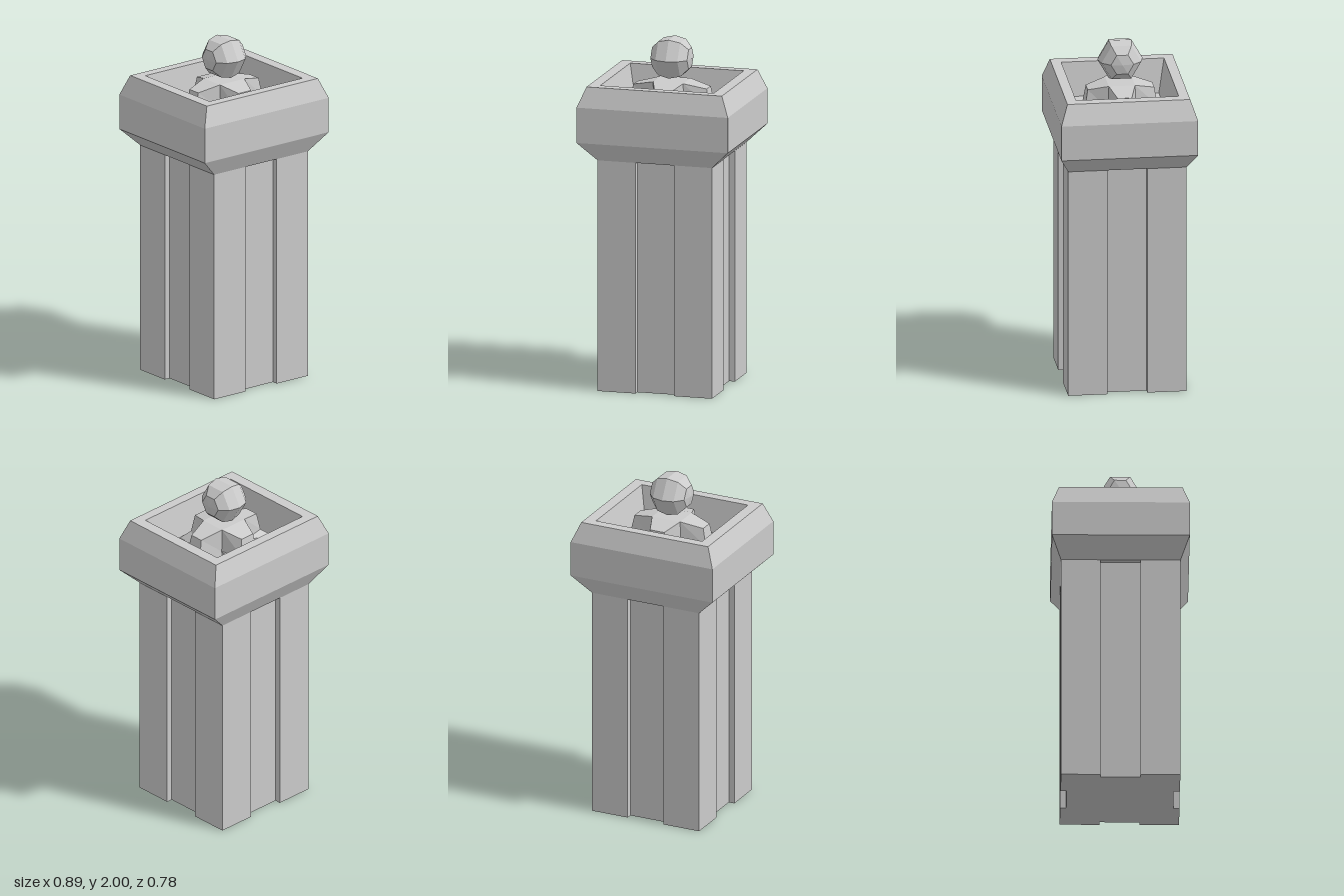
import * as THREE from 'three';

const material = new THREE.MeshStandardMaterial({ color: 0xcccccc, flatShading: true });

// Skins a stack of rings ([x, y, z] lists); caps are polygons on the last ring.
function loft(rings, topCaps, bottomCaps = []) {
  const n = rings[0].length;
  const index = [];
  for (let r = 0; r < rings.length - 1; r++) {
    for (let i = 0; i < n; i++) {
      const a = r * n + i, b = r * n + (i + 1) % n;
      index.push(a, a + n, b + n, a, b + n, b);
    }
  }
  const last = (rings.length - 1) * n;
  for (const [a, b, c, d] of topCaps) {
    index.push(last + a, last + c, last + b, last + a, last + d, last + c);
  }
  for (const [a, b, c, d] of bottomCaps) index.push(a, b, c, a, c, d);
  const indexed = new THREE.BufferGeometry();
  indexed.setAttribute('position', new THREE.Float32BufferAttribute(rings.flat(2), 3));
  indexed.setIndex(index);
  const geometry = indexed.toNonIndexed();
  geometry.computeVertexNormals();
  return geometry;
}

const rectRing = ([x, y, z]) => [[x, y, -z], [x, y, z], [-x, y, z], [-x, y, -z]];

// Plus-shaped ring: arm ends at (X, +-a) and (+-b, Z), inner corners at (vx, vz).
function crossRing({ X, a, Z, b, vx, vz, y, vy = y }) {
  return [
    [X, y, -a], [X, y, a], [vx, vy, vz],
    [b, y, Z], [-b, y, Z], [-vx, vy, vz],
    [-X, y, a], [-X, y, -a], [-vx, vy, -vz],
    [-b, y, -Z], [b, y, -Z], [vx, vy, -vz],
  ];
}

export function createModel() {
  const model = new THREE.Group();
  const add = (name, geometry) => {
    const mesh = new THREE.Mesh(geometry, material);
    mesh.name = name;
    model.add(mesh);
    return mesh;
  };

  // Square shaft with a shallow groove down the middle of each side
  const half = 0.338, groove = 0.113, inner = 0.303, height = 1.34;
  const shape = new THREE.Shape();
  const corner = [[half, groove], [half, half], [groove, half], [groove, inner],
    [-groove, inner]];
  const points = [];
  for (let k = 0; k < 4; k++) {
    const c = Math.round(Math.cos(k * Math.PI / 2)), s = Math.round(Math.sin(k * Math.PI / 2));
    for (const [x, y] of corner) points.push(new THREE.Vector2(x * c - y * s, x * s + y * c));
  }
  shape.setFromPoints(points);
  const shaft = new THREE.ExtrudeGeometry(shape, { depth: height, bevelEnabled: false });
  shaft.rotateX(-Math.PI / 2);
  add('shaft', shaft);

  // Flared capital with a sunken basin
  const profile = [
    [0.338, 1.34, 0.338], [0.447, 1.445, 0.39], [0.447, 1.65, 0.39],
    [0.4, 1.765, 0.35], [0.335, 1.765, 0.293], [0.297, 1.57, 0.259],
  ];
  add('capital', loft(profile.map(rectRing), [[0, 1, 2, 3]], [[0, 1, 2, 3]]));

  // Four-armed faceted mount in the basin
  const mount = [
    { X: 0.297, a: 0.087, Z: 0.259, b: 0.1, vx: 0.1, vz: 0.087, y: 1.57 },
    { X: 0.238, a: 0.05, Z: 0.207, b: 0.06, vx: 0.095, vz: 0.08, y: 1.62 },
    { X: 0.217, a: 0.04, Z: 0.19, b: 0.045, vx: 0.088, vz: 0.075, y: 1.725, vy: 1.755 },
  ];
  add('mount', loft(mount.map(crossRing),
    [[0, 1, 2, 11], [2, 3, 4, 5], [5, 6, 7, 8], [8, 9, 10, 11], [2, 5, 8, 11]]));

  // Six-sided ball, its axis lying along x
  const arc = [[0, -0.118], [0.065, -0.108], [0.113, -0.065], [0.129, 0],
    [0.113, 0.065], [0.065, 0.108], [0, 0.118]];
  const ball = new THREE.LatheGeometry(arc.map(([r, h]) => new THREE.Vector2(r, h)), 6);
  ball.rotateZ(Math.PI / 2);
  add('ball', ball).position.y = 1.888;

  return model;
}
